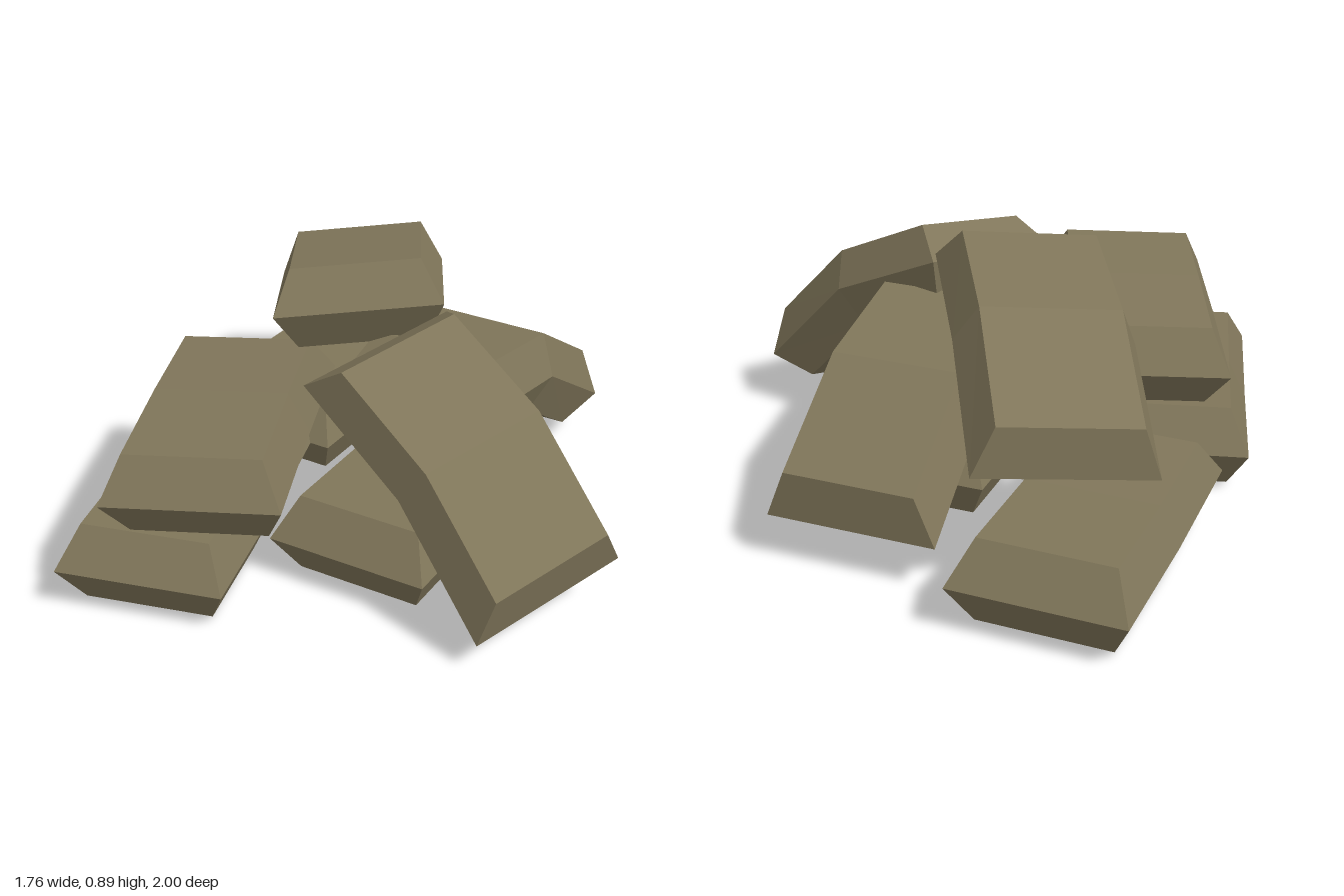
import * as THREE from 'three';

const HALF_HEIGHT = 0.135; // middle seam to top or bottom
const END_INSET = 0.085;   // how far the ends slope in
const SIDE_INSET = 0.063;  // how far the sides slope in

// One bag: three centre points of the seam (end, middle, end) and half its width as a vector.
function bagGeometry(points, halfWidth) {
  const [p0, p1, p2] = points.map((p) => new THREE.Vector3(...p));
  const w = new THREE.Vector3(...halfWidth);
  const tangents = [p1.clone().sub(p0), p2.clone().sub(p0), p2.clone().sub(p1)].map((t) => t.normalize());
  if (tangents[1].clone().cross(w).y < 0) w.negate();
  const side = w.clone().normalize();

  // Six-sided cross-sections, anticlockwise seen from the far end
  const rings = [p0, p1, p2].map((p, i) => {
    const t = tangents[i];
    const up = t.clone().cross(side).normalize();
    const inset = (1 - i) * END_INSET;
    const corner = (s, v) => {
      const c = p.clone().addScaledVector(w, s);
      if (v) c.addScaledVector(side, -s * SIDE_INSET).addScaledVector(up, v * HALF_HEIGHT).addScaledVector(t, inset);
      return c;
    };
    return [corner(1, 0), corner(1, 1), corner(-1, 1), corner(-1, 0), corner(-1, -1), corner(1, -1)];
  });

  const positions = [];
  const quad = (a, b, c, d) => [a, b, c, a, c, d].forEach((v) => positions.push(v.x, v.y, v.z));
  for (let i = 0; i < 2; i++) {
    for (let j = 0; j < 6; j++) {
      const k = (j + 1) % 6;
      quad(rings[i][j], rings[i][k], rings[i + 1][k], rings[i + 1][j]);
    }
  }
  // Sloping ends, two faces each
  const [s, , e] = rings;
  quad(e[0], e[1], e[2], e[3]);
  quad(e[0], e[3], e[4], e[5]);
  quad(s[3], s[2], s[1], s[0]);
  quad(s[5], s[4], s[3], s[0]);

  const geometry = new THREE.BufferGeometry();
  geometry.setAttribute('position', new THREE.Float32BufferAttribute(positions, 3));
  geometry.computeVertexNormals();
  return geometry;
}

export function createModel() {
  const group = new THREE.Group();
  group.name = 'sandbagPile';
  const burlap = new THREE.MeshStandardMaterial({ color: 0x80765a });
  burlap.name = 'burlap';

  const bags = [
    // Bottom layer, lying flat
    ['bottomBackBag', [[-0.545, 0.157, -0.035], [-0.535, 0.14, -0.515], [-0.525, 0.157, -0.995]], [0.275, 0, 0.005]],
    ['bottomMiddleBag', [[0.122, 0.157, 0.52], [0.122, 0.14, 0.043], [0.122, 0.157, -0.435]], [0.275, 0, 0]],
    ['bottomFrontBag', [[-0.615, 0.157, 0.003], [-0.495, 0.14, 0.465], [-0.375, 0.157, 0.928]], [0.265, 0, -0.068]],
    // Second layer
    ['upperFrontBag', [[-0.543, 0.43, -0.013], [-0.37, 0.455, 0.43], [-0.198, 0.457, 0.873]], [0.258, 0.01, -0.103]],
    ['droopingBackBag', [[0.12, 0.53, 0.04], [0.12, 0.44, -0.41], [0.12, 0.165, -0.82]], [0.275, 0, 0]],
    // Bags slumped over the top
    ['slumpedSideBag', [[0.02, 0.71, 0.132], [0.43, 0.5, 0.27], [0.757, 0.153, 0.38]], [0.12, 0.048, -0.245]],
    ['topBag', [[-0.105, 0.76, 0.03], [-0.34, 0.685, -0.405], [-0.535, 0.445, -0.76]], [0.24, 0.025, -0.135]],
  ];
  for (const [name, points, halfWidth] of bags) {
    const mesh = new THREE.Mesh(bagGeometry(points, halfWidth), burlap);
    mesh.name = name;
    group.add(mesh);
  }
  return group;
}
